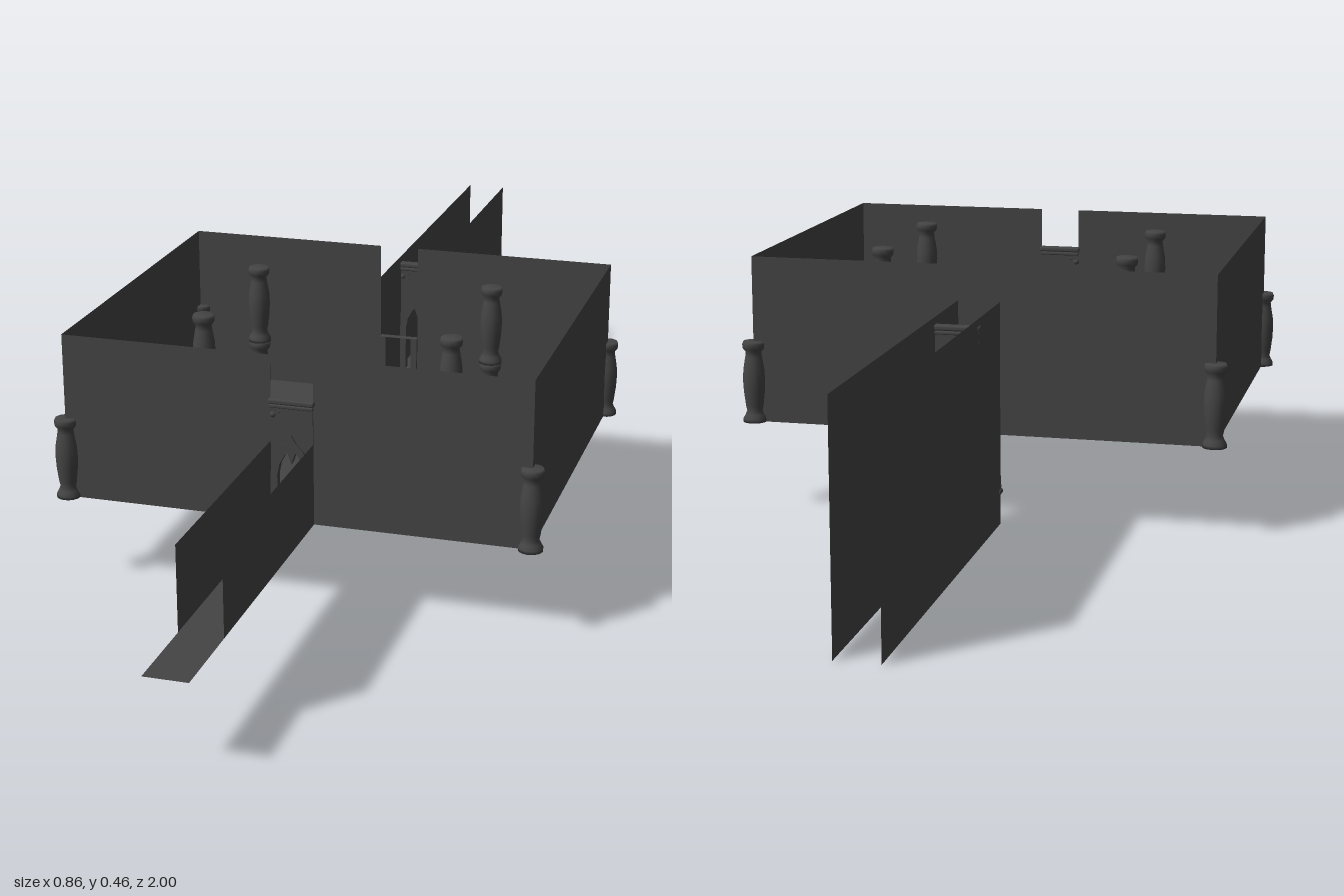
import * as THREE from 'three';
import { RoundedBoxGeometry } from 'three/addons/geometries/RoundedBoxGeometry.js';

const mat = new THREE.MeshStandardMaterial({ color: 0x444444, side: THREE.DoubleSide });
const FLOOR = 0.16, TOP = 0.456, X = 0.41, ZF = 0.4, ZB = -0.27, DOOR = 0.037;

function add(parent, geometry, name, x = 0, y = 0, z = 0) {
  const mesh = new THREE.Mesh(geometry, mat);
  mesh.name = name;
  mesh.position.set(x, y, z);
  parent.add(mesh);
  return mesh;
}

// Thin sheets: floors, walls across x, walls along z
function floorSheet(g, name, x0, x1, z0, z1, y) {
  add(g, new THREE.PlaneGeometry(x1 - x0, z1 - z0).rotateX(-Math.PI / 2), name, (x0 + x1) / 2, y, (z0 + z1) / 2);
}
function crossWall(g, name, x0, x1, y0, y1, z) {
  add(g, new THREE.PlaneGeometry(x1 - x0, y1 - y0), name, (x0 + x1) / 2, (y0 + y1) / 2, z);
}
function sideWall(g, name, x, y0, y1, z0, z1) {
  add(g, new THREE.PlaneGeometry(z1 - z0, y1 - y0).rotateY(Math.PI / 2), name, x, (y0 + y1) / 2, (z0 + z1) / 2);
}

// Turned pillar with a flared foot, swollen shaft and capital
function pillarGeometry() {
  const profile = [
    [0, 0], [0.021, 0], [0.021, 0.006], [0.017, 0.013], [0.014, 0.02], [0.016, 0.03],
    [0.019, 0.055], [0.02, 0.075], [0.019, 0.095], [0.015, 0.118], [0.014, 0.126],
    [0.019, 0.132], [0.02, 0.14], [0.018, 0.145], [0, 0.145]
  ];
  return new THREE.LatheGeometry(profile.map(([r, y]) => new THREE.Vector2(r, y)), 16);
}

// Half outline of a pointed arch, mirrored into a closed shape
function archShape(half, Type = THREE.Shape) {
  const mirrored = half.slice().reverse().filter(([x]) => x > 0).map(([x, y]) => [-x, y]);
  return new Type([...half, ...mirrored].map(([x, y]) => new THREE.Vector2(x, y)));
}
function extrude(shape, depth) {
  return new THREE.ExtrudeGeometry(shape, { depth, bevelEnabled: false }).translate(0, 0, -depth / 2);
}

// Pointed doorway: panel, raised rim with a pendant, feet and lintel
function doorway(name) {
  const g = new THREE.Group();
  g.name = name;
  const inner = [[0.025, 0], [0.025, 0.085], [0.021, 0.105], [0.012, 0.122], [0.007, 0.127], [0, 0.107]];
  const outer = [[0.037, 0], [0.037, 0.09], [0.032, 0.112], [0.02, 0.132], [0.008, 0.145], [0, 0.158]];
  const panel = archShape([[DOOR, 0], [DOOR, 0.212]]);
  panel.holes.push(archShape(inner.map(([x, y]) => [x, y + 0.0005]), THREE.Path));
  add(g, extrude(panel, 0.006), 'doorPanel');
  const rim = archShape(outer);
  rim.holes.push(archShape(inner.map(([x, y]) => [x, y + 0.0005]), THREE.Path));
  add(g, extrude(rim, 0.014), 'archRim');
  add(g, new RoundedBoxGeometry(0.08, 0.009, 0.018, 2, 0.003), 'lintel', 0, 0.2165, 0);
  add(g, new RoundedBoxGeometry(0.076, 0.006, 0.014, 2, 0.002), 'lintelMoulding', 0, 0.208, 0);
  for (const [x, y, r] of [[-0.033, 0.192, 0.006], [-0.022, 0.198, 0.004]])
    add(g, new THREE.SphereGeometry(r, 10, 8), 'cornerOrnament', x, y, 0);
  return g;
}

export function createModel() {
  const root = new THREE.Group();
  root.name = 'hallWithPassages';

  // Open-topped hall with door gaps front and back
  floorSheet(root, 'hallFloor', -X, X, ZB, ZF, FLOOR);
  for (const s of [-1, 1]) {
    sideWall(root, 'hallSideWall', s * X, FLOOR, TOP, ZB, ZF);
    for (const z of [ZF, ZB]) {
      const [a, b] = s < 0 ? [-X, -DOOR] : [DOOR, X];
      crossWall(root, 'hallEndWall', a, b, FLOOR, TOP, z);
    }
    // Passage walls
    sideWall(root, 'frontPassageWall', s * DOOR, FLOOR, 0.305, ZF, 0.85);
    sideWall(root, 'backPassageWall', s * DOOR, 0, 0.394, -1, ZB);
  }
  floorSheet(root, 'frontPassageFloor', -DOOR, DOOR, ZF, 1, FLOOR);
  floorSheet(root, 'backPassageFloor', -DOOR, DOOR, -0.57, ZB, FLOOR);

  // Corner pillars, and inner pillars of two stacked pieces
  const pillar = pillarGeometry();
  for (const s of [-1, 1]) {
    for (const z of [ZF, ZB]) add(root, pillar, 'cornerPillar', s * X, FLOOR, z);
    for (const z of [0.21, -0.09])
      for (const level of [0, 1]) add(root, pillar, 'innerPillar', s * 0.224, FLOOR + level * 0.145, z);
  }

  // Doorways; the one at the back of the hall hangs upside down
  const front = doorway('frontDoorway');
  front.position.set(0, FLOOR, ZF);
  const back = doorway('backDoorway');
  back.rotation.z = Math.PI;
  back.position.set(0, 0.275, ZB);
  const passage = doorway('passageDoorway');
  passage.position.set(0, FLOOR, -0.42);
  root.add(front, back, passage);

  // Chests sunk into the floor
  for (const [x, z, w, h, d] of [
    [0.098, 0.237, 0.078, 0.05, 0.09], [-0.202, 0.05, 0.058, 0.024, 0.08], [0.1, -0.09, 0.04, 0.008, 0.058]
  ]) add(root, new RoundedBoxGeometry(w, h, d, 2, h * 0.15), 'sunkenChest', x, FLOOR, z);

  return root;
}
